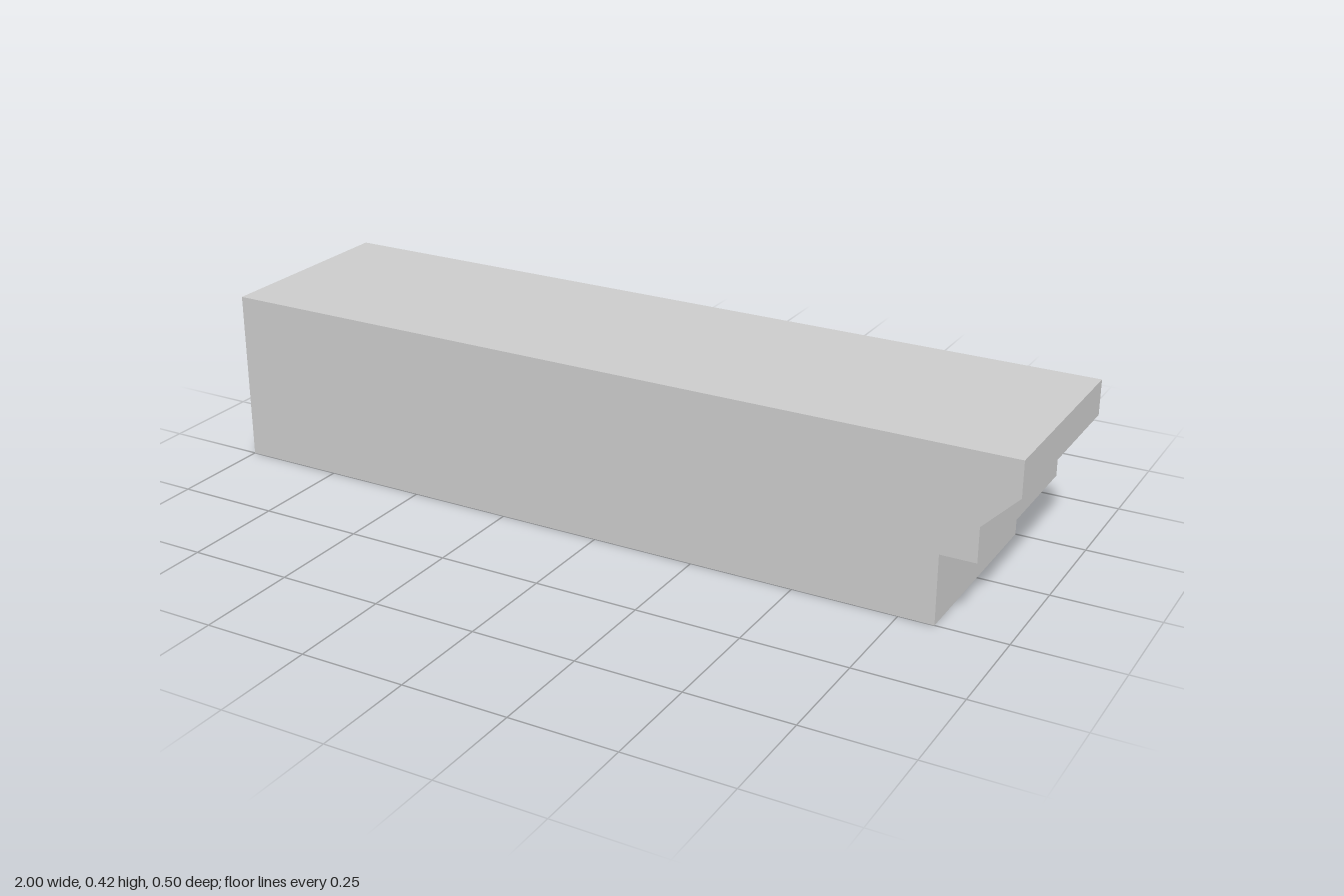
import * as THREE from 'three';

const HALF_DEPTH = 0.25;
const material = new THREE.MeshStandardMaterial({ color: 0xcccccc, flatShading: true, side: THREE.DoubleSide });

// Sweep an open outline of [x, y] points across the depth, as flat strips
function sweptStrip(points) {
  const positions = [];
  for (let i = 0; i < points.length - 1; i++) {
    const [ax, ay] = points[i];
    const [bx, by] = points[i + 1];
    const d = HALF_DEPTH;
    positions.push(ax, ay, d, ax, ay, -d, bx, by, -d);
    positions.push(ax, ay, d, bx, by, -d, bx, by, d);
  }
  const geometry = new THREE.BufferGeometry();
  geometry.setAttribute('position', new THREE.Float32BufferAttribute(positions, 3));
  geometry.computeVertexNormals();
  return geometry;
}

export function createModel() {
  const group = new THREE.Group();
  group.name = 'corniceBlock';

  const add = (name, geometry) => {
    const mesh = new THREE.Mesh(geometry, material);
    mesh.name = name;
    group.add(mesh);
    return mesh;
  };

  // Underside, stepped moulding end and top; the -x end stays open
  const profile = [
    [-1, 0], [0.833, 0], [0.833, 0.167], [0.917, 0.167],
    [0.917, 0.25], [1, 0.333], [1, 0.417], [-1, 0.417],
  ];
  add('mouldedShell', sweptStrip(profile));

  // Inner shelf dividing the hollow, level with the lower step
  add('innerShelf', sweptStrip([[0.833, 0.167], [-1, 0.167]]));

  // Matching side walls cut to the profile
  const side = new THREE.ShapeGeometry(new THREE.Shape(profile.map(([x, y]) => new THREE.Vector2(x, y))));
  add('frontWall', side).position.z = HALF_DEPTH;

  // Mirror in x, then turn around, so the back wall faces outward
  const back = side.clone().scale(-1, 1, 1).rotateY(Math.PI);
  const index = back.index.array;
  for (let i = 0; i < index.length; i += 3) [index[i], index[i + 1]] = [index[i + 1], index[i]];
  back.computeVertexNormals();
  add('backWall', back).position.z = -HALF_DEPTH;

  return group;
}
